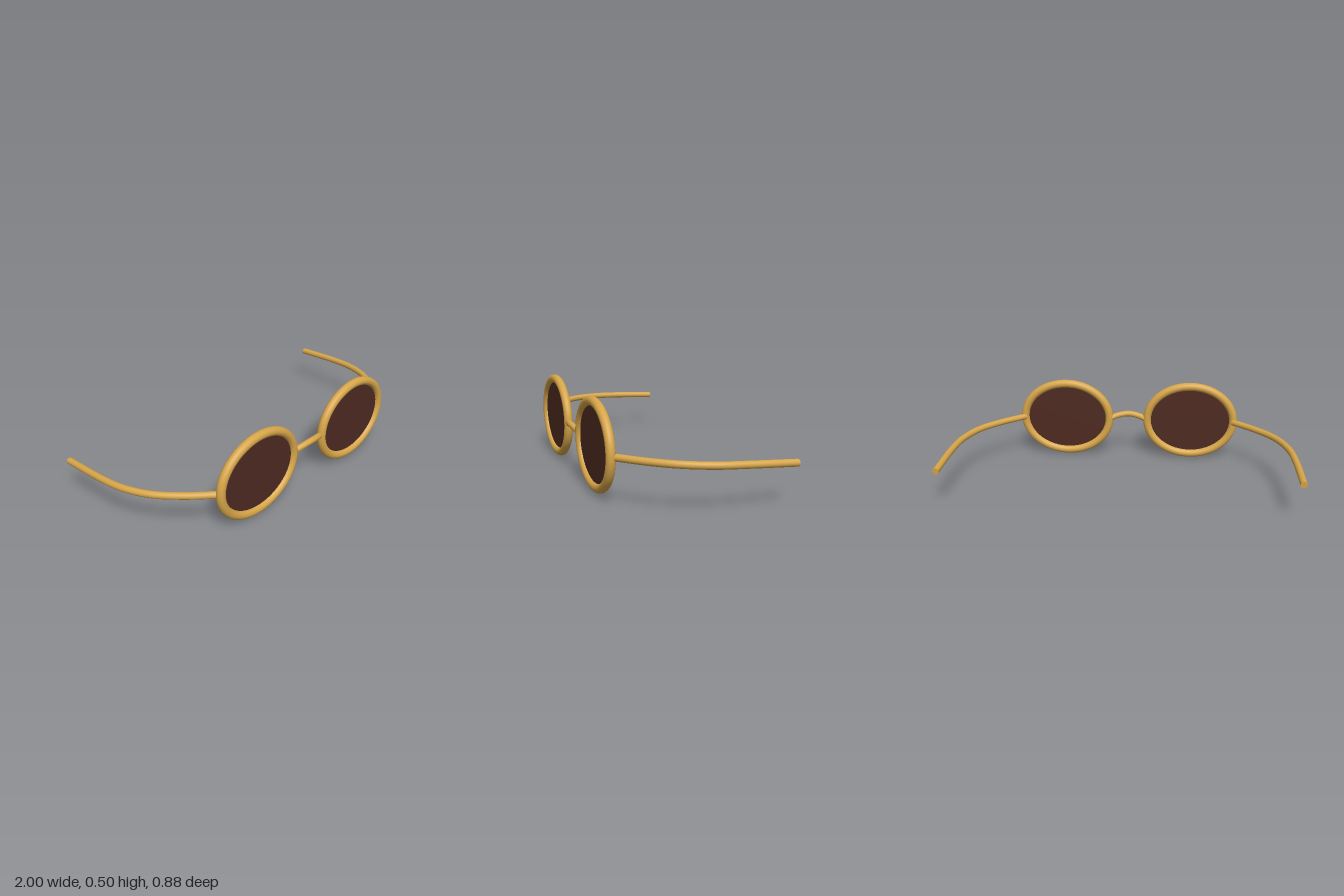
import * as THREE from 'three';

const gold = new THREE.MeshStandardMaterial({ name: 'gold frame', color: 0xd6a549 });
const tint = new THREE.MeshStandardMaterial({ name: 'brown lens', color: 0x4e2a21 });

const LENS_X = 0.393, LENS_Y = 0.252, LENS_Z = 0.4;
const RX = 0.272, RY = 0.224;

function add(parent, name, geometry, material) {
  const mesh = new THREE.Mesh(geometry, material);
  mesh.name = name;
  parent.add(mesh);
  return mesh;
}

// Closed ellipse used as the centre line of a rim
class EllipseLoop extends THREE.Curve {
  getPoint(t, target = new THREE.Vector3()) {
    const a = t * Math.PI * 2;
    return target.set(RX * Math.cos(a), RY * Math.sin(a), 0);
  }
}

// Round wire through a few points, with flat caps on both ends
function wire(parent, name, points, radius) {
  const group = new THREE.Group();
  group.name = name;
  const curve = new THREE.CatmullRomCurve3(points.map(p => new THREE.Vector3(...p)));
  add(group, name + 'Wire', new THREE.TubeGeometry(curve, 64, radius, 20), gold);
  for (const t of [0, 1]) {
    const cap = add(group, name + 'Cap', new THREE.CircleGeometry(radius, 20), gold);
    const out = curve.getTangent(t).multiplyScalar(t ? 1 : -1);
    cap.position.copy(curve.getPoint(t));
    cap.quaternion.setFromUnitVectors(new THREE.Vector3(0, 0, 1), out);
  }
  parent.add(group);
}

export function createModel() {
  const model = new THREE.Group();
  model.name = 'sunglasses';

  for (const [side, s] of [['left', 1], ['right', -1]]) {
    // Oval rim and its dark lens
    const eye = new THREE.Group();
    eye.name = side + 'Eyepiece';
    eye.position.set(s * LENS_X, LENS_Y, LENS_Z);
    add(eye, side + 'Rim', new THREE.TubeGeometry(new EllipseLoop(), 96, 0.025, 20, true), gold);
    const lens = add(eye, side + 'Lens', new THREE.CylinderGeometry(1, 1, 0.008, 64), tint);
    lens.geometry.rotateX(Math.PI / 2).scale(RX, RY, 1);
    model.add(eye);

    // Temple arm sweeping outwards and back
    wire(model, side + 'Temple', [
      [s * 0.665, 0.252, 0.385], [s * 0.79, 0.253, 0.27], [s * 0.895, 0.253, 0.14],
      [s * 0.955, 0.249, -0.01], [s * 0.974, 0.243, -0.16], [s * 0.98, 0.227, -0.44],
    ], 0.019);
  }

  // Arched nose bridge, bowed forwards
  wire(model, 'bridge', [
    [-0.12, 0.252, 0.395], [-0.065, 0.27, 0.413], [0, 0.279, 0.422],
    [0.065, 0.27, 0.413], [0.12, 0.252, 0.395],
  ], 0.018);

  return model;
}
